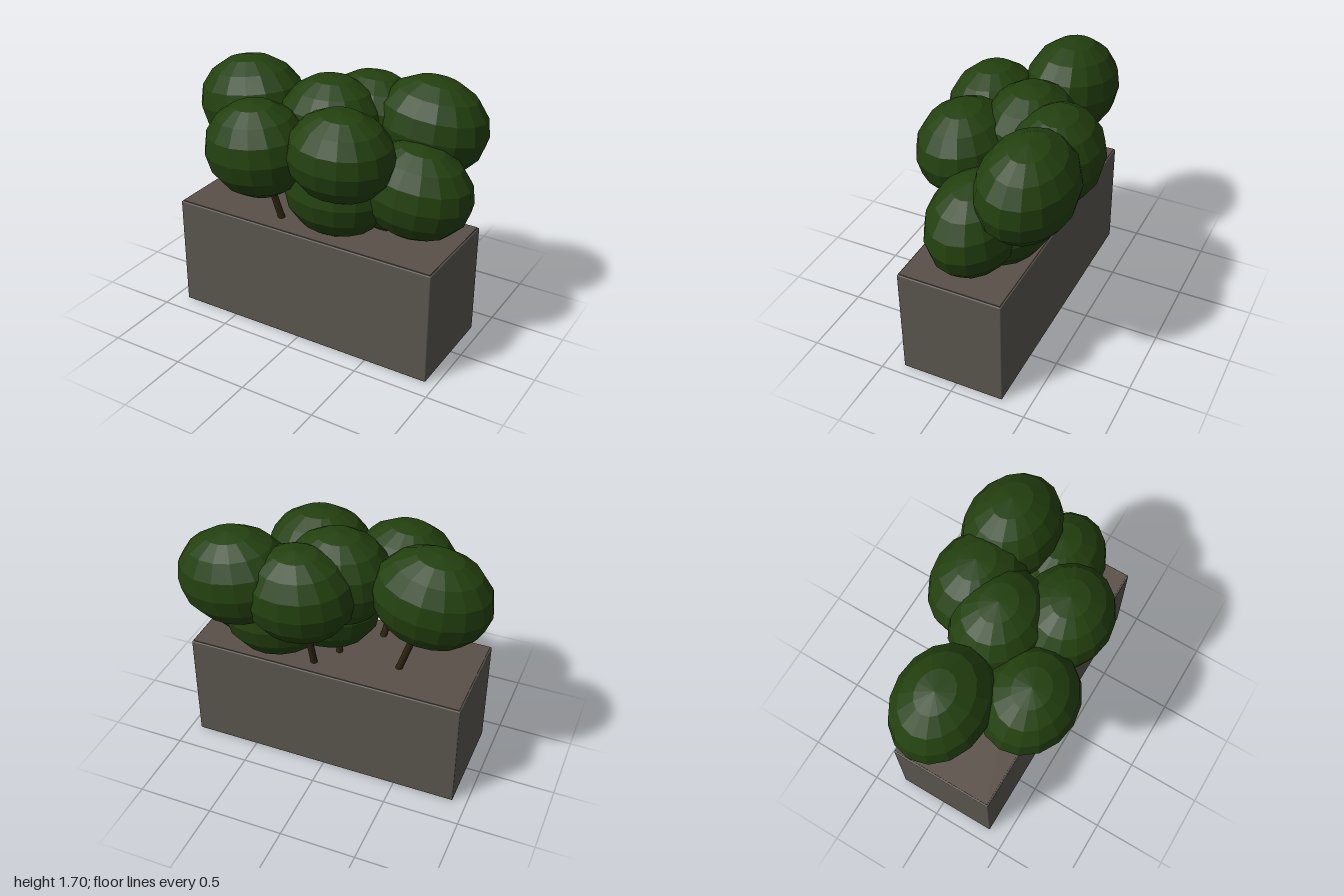
import * as THREE from 'three';
import { RoundedBoxGeometry } from 'three/addons/geometries/RoundedBoxGeometry.js';

const SOIL_Y = 0.765;

// Foliage crowns: centre x, y, z, then radii
const CROWNS = [
  [-0.62, 1.38, -0.09, 0.378, 0.315, 0.30],
  [-0.31, 1.27, 0.32, 0.35, 0.315, 0.30],
  [0.24, 1.32, 0.245, 0.35, 0.29, 0.30],
  [0.56, 1.385, -0.32, 0.38, 0.315, 0.30],
  [0.62, 1.08, -0.01, 0.38, 0.31, 0.29],
  [0.14, 1.02, 0.11, 0.36, 0.31, 0.30],
  [0.41, 1.04, -0.1, 0.36, 0.31, 0.31],
  [-0.01, 1.37, -0.07, 0.35, 0.31, 0.30],
  [0.15, 1.35, -0.31, 0.36, 0.31, 0.30],
];

function makeMaterial(name, color, flatShading = false) {
  const m = new THREE.MeshStandardMaterial({ color, flatShading });
  m.name = name;
  return m;
}

function makeMesh(name, geometry, material) {
  const mesh = new THREE.Mesh(geometry, material);
  mesh.name = name;
  return mesh;
}

// Leaning trunk between two points
function makeTrunk(from, to, material) {
  const dir = to.clone().sub(from);
  const trunk = makeMesh('trunk', new THREE.CylinderGeometry(0.02, 0.023, dir.length(), 8), material);
  trunk.position.copy(from).add(to).multiplyScalar(0.5);
  trunk.quaternion.setFromUnitVectors(new THREE.Vector3(0, 1, 0), dir.normalize());
  return trunk;
}

export function createModel() {
  const model = new THREE.Group();
  model.name = 'planterWithShrubs';
  const stone = makeMaterial('stone grey', 0x5a564e);
  const earth = makeMaterial('soil brown', 0x5a5049);
  const bark = makeMaterial('bark brown', 0x2e2411);
  const leaf = makeMaterial('leaf green', 0x23400f, true);

  // Planter box
  const planter = makeMesh('planter', new RoundedBoxGeometry(1.84, 0.76, 0.695, 2, 0.008), stone);
  planter.position.set(0.012, 0.38, 0.027);
  model.add(planter);

  // Soil surface
  const soil = makeMesh('soil', new THREE.BoxGeometry(1.82, 0.008, 0.675), earth);
  soil.position.set(0.012, SOIL_Y - 0.004, 0.027);
  model.add(soil);

  // Shrubs: each crown leans outwards on its trunk
  const sphere = new THREE.SphereGeometry(1, 16, 8);
  for (const [x, y, z, rx, ry, rz] of CROWNS) {
    const shrub = new THREE.Group();
    shrub.name = 'shrub';
    const crown = makeMesh('crown', sphere, leaf);
    crown.position.set(x, y, z);
    crown.scale.set(rx, ry, rz);
    crown.rotation.set(z * 0.2, 0, -x * 0.2);
    const base = new THREE.Vector3(x * 0.67, SOIL_Y - 0.02, z * 0.67);
    shrub.add(crown, makeTrunk(base, crown.position, bark));
    model.add(shrub);
  }
  return model;
}
